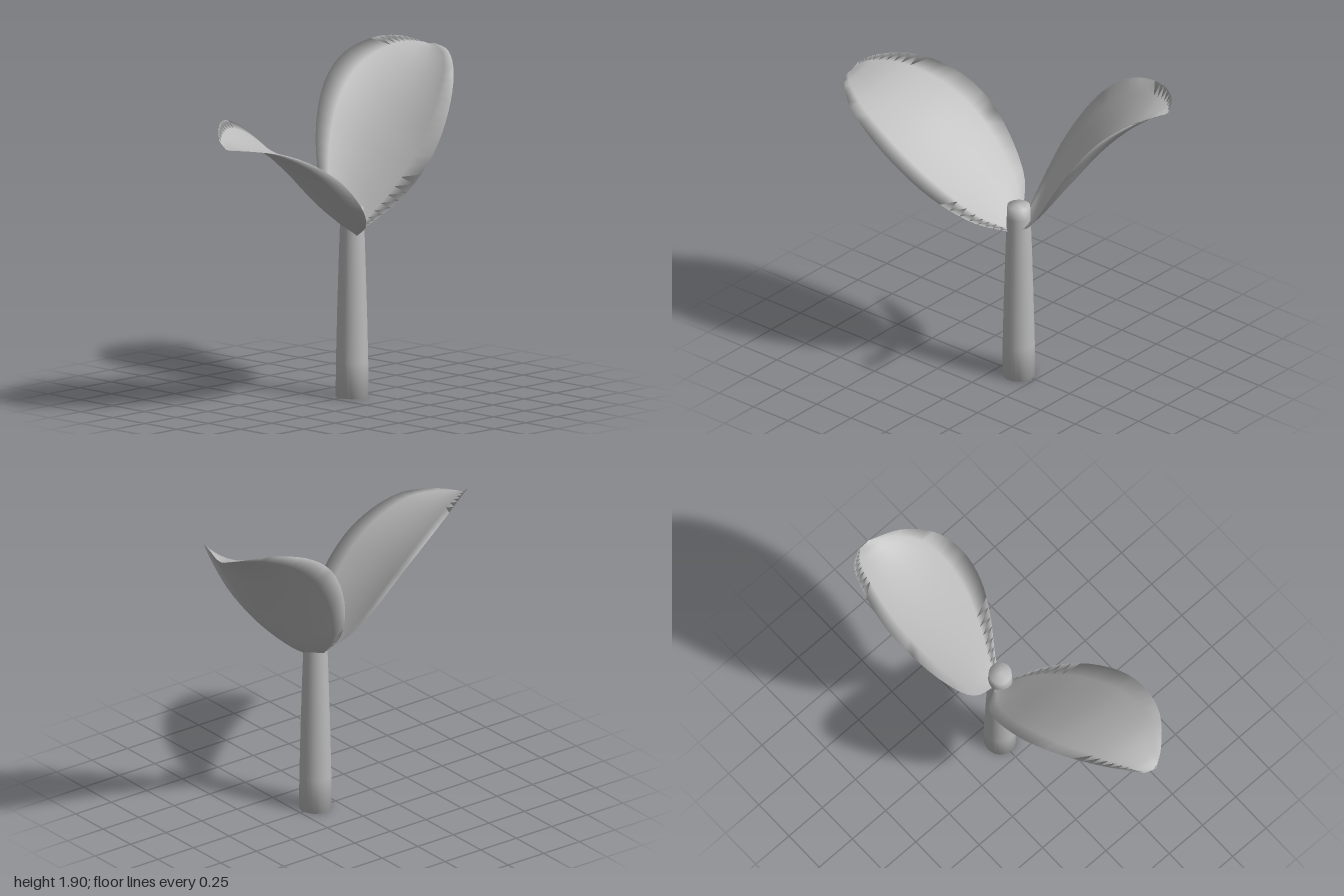
import * as THREE from 'three';

const ROWS = 28, COLS = 7;
const curve = (pts) => new THREE.CatmullRomCurve3(pts.map((p) => new THREE.Vector3(...p)));

// Thin cupped leaf between two rim curves: each cross-section is a closed loop
// running over the inner face and back under the outer face
function leafGeometry(frontRim, backRim, innerCup, outerCup, side) {
  const front = curve(frontRim), back = curve(backRim);
  const middle = (u) => front.getPoint(u).add(back.getPoint(u));
  const positions = [], indices = [];
  const loop = 2 * COLS;
  for (let i = 0; i <= ROWS; i++) {
    const u = i / ROWS;
    const a = front.getPoint(u), b = back.getPoint(u);
    const along = middle(Math.min(1, u + 0.06)).sub(middle(Math.max(0, u - 0.06)));
    const across = b.clone().sub(a);
    const down = across.clone().cross(along).normalize().multiplyScalar(side * across.length());
    const outer = innerCup + (outerCup - innerCup) * Math.sqrt(Math.max(0, Math.sin(Math.PI * u)));
    for (let j = 0; j < loop; j++) {
      const v = j <= COLS ? j / COLS : 2 - j / COLS;
      const hollow = (j <= COLS ? innerCup : outer) * 4 * v * (1 - v);
      const p = a.clone().lerp(b, v).addScaledVector(down, hollow);
      positions.push(p.x, p.y, p.z);
      if (i < ROWS) {
        const k = i * loop + j, k1 = i * loop + (j + 1) % loop;
        const n = k + loop, n1 = k1 + loop;
        if (side > 0) indices.push(k, n, k1, k1, n, n1);
        else indices.push(k, k1, n, k1, n1, n);
      }
    }
  }
  const g = new THREE.BufferGeometry();
  g.setAttribute('position', new THREE.Float32BufferAttribute(positions, 3));
  g.setIndex(indices);
  g.computeVertexNormals();
  return g;
}

export function createModel() {
  const group = new THREE.Group();
  const grey = new THREE.MeshStandardMaterial({ color: 0xbababa, side: THREE.DoubleSide });
  grey.name = 'plain grey';
  const add = (name, geometry) => {
    const mesh = new THREE.Mesh(geometry, grey);
    mesh.name = name;
    group.add(mesh);
  };

  // Tapered stem with softly shaded closed ends
  const profile = [[0, 0], [0.092, 0], [0.09, 0.2], [0.083, 0.5], [0.074, 0.8], [0.067, 1.0],
    [0.064, 1.072], [0, 1.072]];
  const stem = new THREE.LatheGeometry(profile.map(([r, y]) => new THREE.Vector2(r, y)), 24);
  stem.translate(0.136, 0, 0.008);
  add('stem', stem);

  // Taller leaf on the model's left
  add('leftLeaf', leafGeometry(
    [[0.15, 0.93, 0.02], [0.25, 0.99, 0.075], [0.4, 1.14, 0.175], [0.55, 1.345, 0.235],
      [0.69, 1.57, 0.218], [0.82, 1.755, 0.13], [0.93, 1.848, -0.02], [1, 1.86, -0.2]],
    [[0.13, 0.95, -0.04], [0.12, 1.12, -0.2], [0.2, 1.41, -0.34], [0.37, 1.69, -0.44],
      [0.57, 1.835, -0.47], [0.8, 1.895, -0.43], [0.93, 1.885, -0.37], [1, 1.855, -0.27]],
    0.09, 0.135, 1));

  // Lower, longer leaf on the model's right
  add('rightLeaf', leafGeometry(
    [[0.11, 0.92, 0.07], [0, 1.015, 0.25], [-0.2, 1.18, 0.4], [-0.48, 1.39, 0.464],
      [-0.75, 1.53, 0.4], [-0.93, 1.565, 0.25], [-1, 1.565, 0.15]],
    [[0.11, 0.98, -0.06], [0, 1.135, -0.2], [-0.28, 1.445, -0.27], [-0.5, 1.59, -0.24],
      [-0.75, 1.667, -0.13], [-0.92, 1.65, 0], [-0.985, 1.61, 0.07]],
    0.06, 0.11, -1));

  return group;
}
